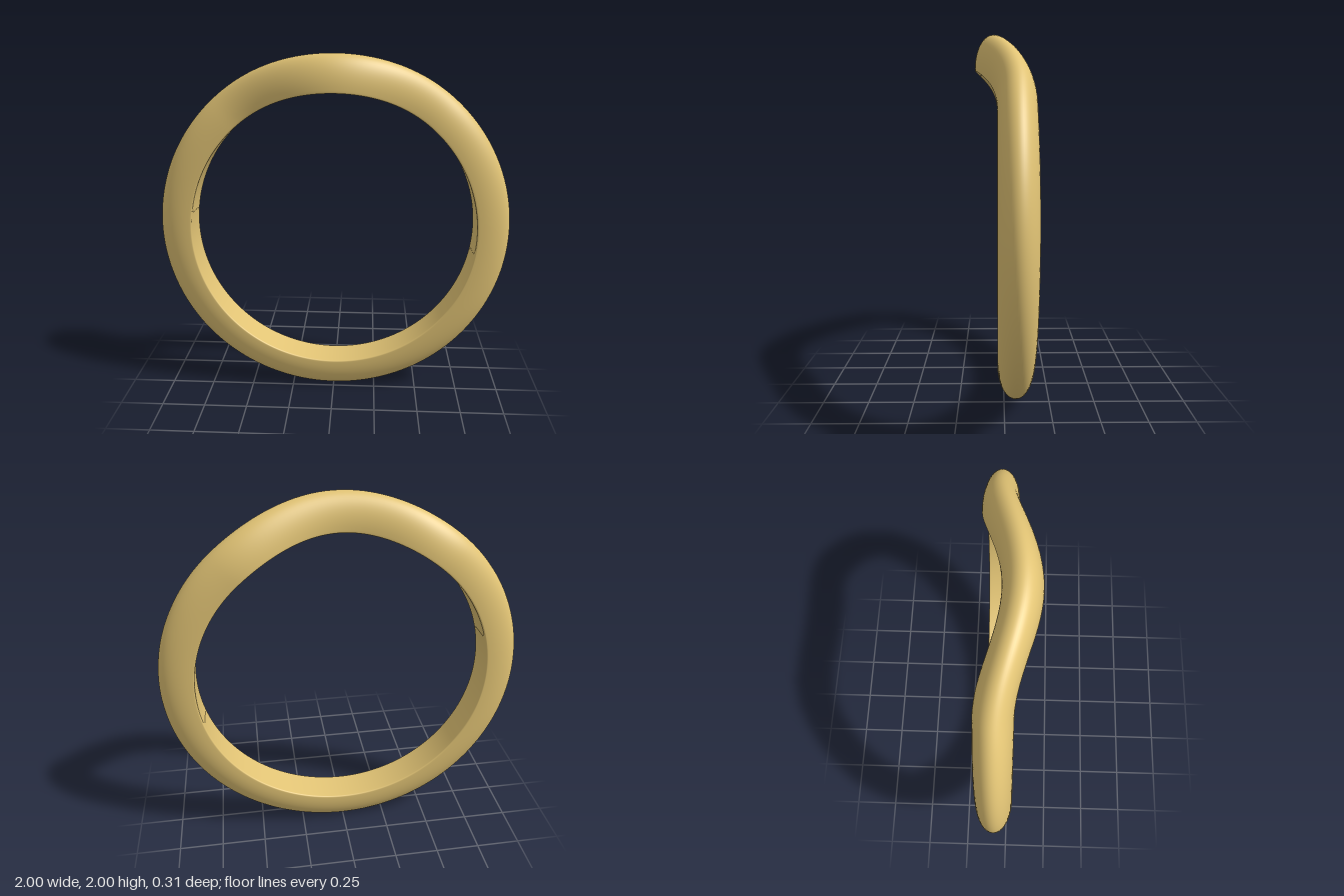
import * as THREE from 'three';
import { mergeVertices } from 'three/addons/utils/BufferGeometryUtils.js';

const INNER = 0.807, SHOULDER = 0.825, OUTER = 1, HALF_WIDTH = 0.0965;
const REST_Z = -0.06, WAVE = 0.12, WAVE_ANGLE = 0.73;

// Closed D-shaped section: domed outside, flat inside with softened edges
function bandProfile() {
  const pts = [];
  const arc = (r0, z0, rr, rz, from, to, n) => {
    for (let i = 0; i <= n; i++) {
      const t = from + (to - from) * i / n;
      pts.push(new THREE.Vector2(r0 + rr * Math.cos(t), z0 + rz * Math.sin(t)));
    }
  };
  const soft = 0.008, flat = HALF_WIDTH - soft, q = Math.PI / 2;
  arc(SHOULDER, 0, OUTER - SHOULDER, HALF_WIDTH, -q, q, 32);
  arc(INNER + soft, flat, soft, soft, q, 2 * q, 4);
  for (let i = 1; i < 6; i++) pts.push(new THREE.Vector2(INNER, flat * (1 - i / 3)));
  arc(INNER + soft, -flat, soft, soft, 2 * q, 3 * q, 4);
  pts.push(pts[0].clone());
  return pts;
}

export function createModel() {
  const group = new THREE.Group();
  group.name = 'ring';

  let geo = new THREE.LatheGeometry(bandProfile(), 192);
  geo.rotateX(Math.PI / 2);

  // Sweep the top of the band forward in a smooth wave
  const pos = geo.attributes.position;
  for (let i = 0; i < pos.count; i++) {
    const a = Math.abs(Math.atan2(pos.getX(i), pos.getY(i)));
    const lift = a < WAVE_ANGLE ? 0.5 * (1 + Math.cos(Math.PI * a / WAVE_ANGLE)) : 0;
    pos.setZ(i, pos.getZ(i) + REST_Z + WAVE * lift);
  }

  // Weld the seams so the shading stays continuous
  geo.deleteAttribute('uv');
  geo.deleteAttribute('normal');
  geo = mergeVertices(geo, 1e-5);
  geo.computeVertexNormals();

  const band = new THREE.Mesh(geo, new THREE.MeshStandardMaterial({ color: 0xe2c475 }));
  band.name = 'wavedBand';
  band.position.y = 1;
  group.add(band);
  return group;
}
